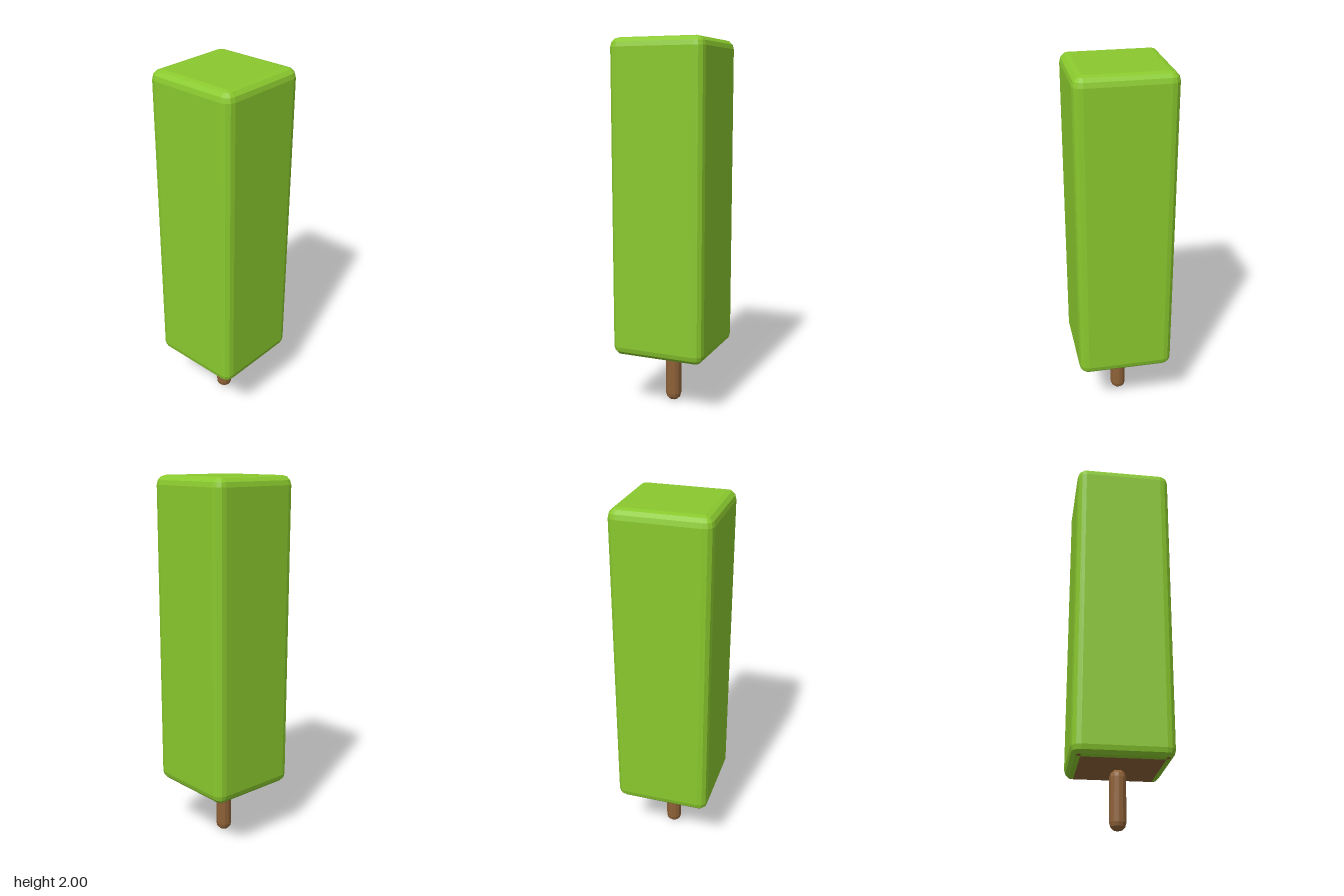
import * as THREE from 'three';

const STEPS = 3; // facets per rounded edge

// Rounded square bar from stacked cross-sections; returns the sides and top, and the base, separately.
function roundedBar(half, bottom, top, radius) {
  const inner = half - radius;
  const ring = (r, y) => {
    const points = [];
    for (let corner = 0; corner < 4; corner++) {
      const cx = corner === 0 || corner === 3 ? inner : -inner;
      const cz = corner < 2 ? inner : -inner;
      for (let k = 0; k <= STEPS; k++) {
        const a = (corner + k / STEPS) * Math.PI / 2;
        points.push([cx + r * Math.cos(a), y, cz + r * Math.sin(a)]);
      }
    }
    return points;
  };

  const rings = [];
  for (let j = 0; j <= STEPS; j++) {
    const a = j / STEPS * Math.PI / 2;
    rings.push(ring(radius * Math.sin(a), bottom + radius * (1 - Math.cos(a))));
  }
  for (let j = STEPS; j >= 0; j--) {
    const a = j / STEPS * Math.PI / 2;
    rings.push(ring(radius * Math.sin(a), top - radius * (1 - Math.cos(a))));
  }

  const shell = [], base = [];
  const count = rings[0].length;
  for (let j = 0; j < rings.length - 1; j++) {
    for (let i = 0; i < count; i++) {
      const n = (i + 1) % count;
      const a = rings[j][i], b = rings[j][n], c = rings[j + 1][n], d = rings[j + 1][i];
      const inCorner = i % (STEPS + 1) < STEPS;
      // the lowest corner facets belong to the base
      const target = j === 0 && inCorner ? base : shell;
      if (!(j === 0 && inCorner)) target.push(a, c, b);
      if (!(j === rings.length - 2 && inCorner)) target.push(a, d, c);
      else target.pop(), target.pop(), target.pop(), target.push(a, d, b);
    }
  }

  // flat end caps, one point per corner
  const cap = (r, y) => ring(0, y).filter((p, i) => i % (STEPS + 1) === 0);
  const [p, q, r, s] = cap(0, bottom);
  base.push(p, q, r, p, r, s);
  const [t, u, v, w] = cap(0, top);
  shell.push(t, v, u, t, w, v);

  const geometry = (triangles) => {
    const g = new THREE.BufferGeometry();
    g.setAttribute('position', new THREE.Float32BufferAttribute(triangles.flat(), 3));
    g.computeVertexNormals();
    return g;
  };
  return { shell: geometry(shell), base: geometry(base) };
}

export function createModel() {
  const model = new THREE.Group();
  model.name = 'icePop';
  const ice = new THREE.MeshStandardMaterial({ color: 0x8ac92e, flatShading: true });
  const wood = new THREE.MeshStandardMaterial({ color: 0x8f6238, flatShading: true });
  const add = (name, geometry, material) => {
    const mesh = new THREE.Mesh(geometry, material);
    mesh.name = name;
    model.add(mesh);
  };

  // frozen block with a brown underside
  const block = roundedBar(0.26, 0.31, 2, 0.049);
  add('iceBlock', block.shell, ice);
  add('blockUnderside', block.base, wood);

  // round-ended stick
  const stick = roundedBar(0.043, 0, 0.31, 0.041);
  add('stick', stick.shell, wood);
  add('stickEnd', stick.base, wood);
  return model;
}
